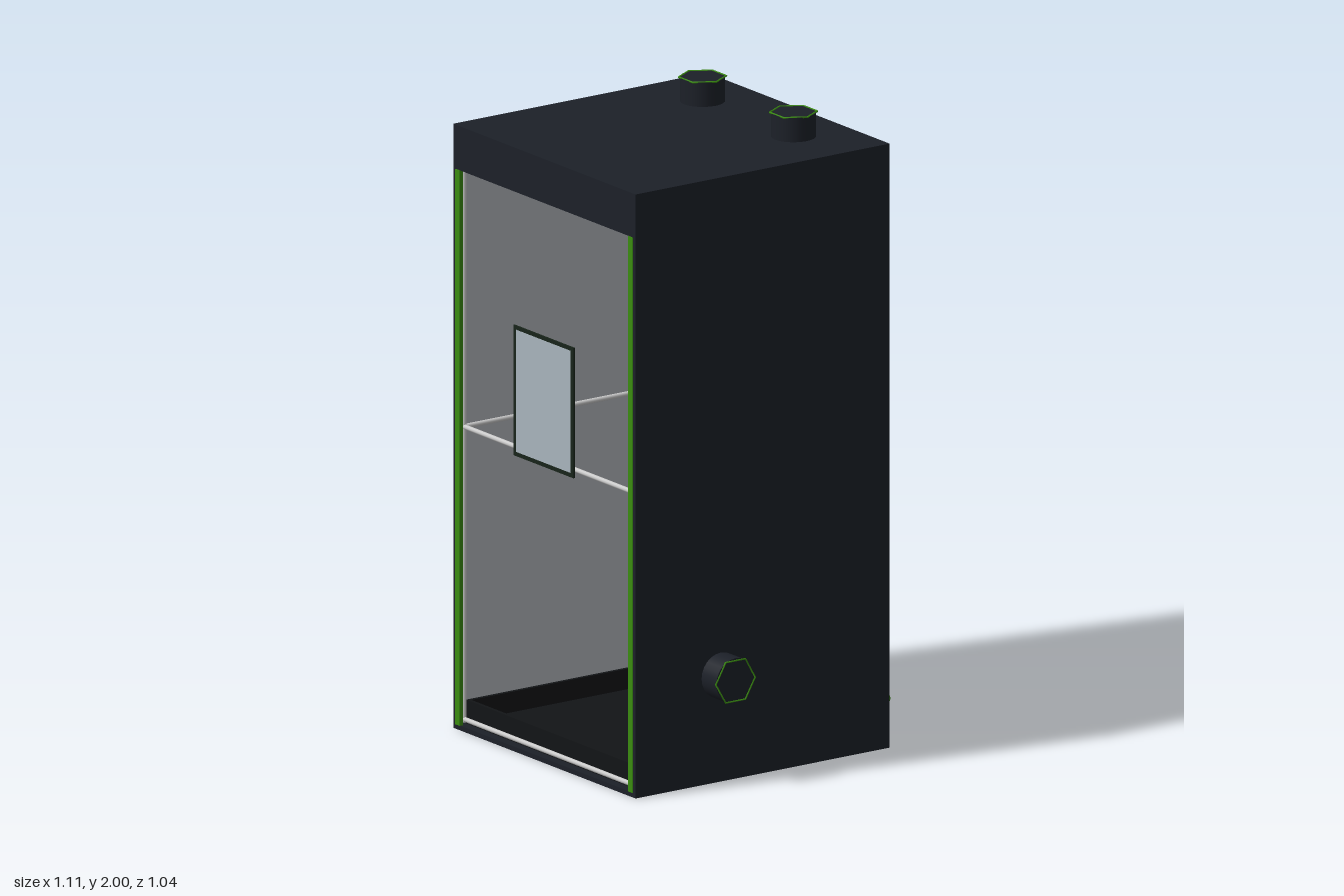
import * as THREE from 'three';

const mat = (color) => new THREE.MeshStandardMaterial({ color });
const fabric = mat(0x1c2028);
const liner = mat(0xb4b7bc);
const pole = mat(0xcccccc);
const green = mat(0x3a8c10);
const trayBlack = mat(0x121416);
const windowGrey = mat(0xa8b4bc);
const frameDark = mat(0x18241a);

// Box given by its two extreme corners
function box(parent, name, material, [x0, y0, z0], [x1, y1, z1]) {
  const mesh = new THREE.Mesh(new THREE.BoxGeometry(x1 - x0, y1 - y0, z1 - z0), material);
  mesh.name = name;
  mesh.position.set((x0 + x1) / 2, (y0 + y1) / 2, (z0 + z1) / 2);
  parent.add(mesh);
}

// Straight round rod between two points
function rod(parent, name, a, b, r = 0.008) {
  const p = new THREE.Vector3(...a), q = new THREE.Vector3(...b);
  const dir = q.clone().sub(p);
  const mesh = new THREE.Mesh(new THREE.CylinderGeometry(r, r, dir.length(), 8), pole);
  mesh.name = name;
  mesh.position.copy(p).add(q).multiplyScalar(0.5);
  mesh.quaternion.setFromUnitVectors(new THREE.Vector3(0, 1, 0), dir.normalize());
  parent.add(mesh);
}

// Round duct sleeve along local +z, ending in a hexagonal trim ring
function port(parent, name, r, ringR, position, rx, ry) {
  const g = new THREE.Group();
  g.name = name;
  const length = 0.077;
  const sleeve = new THREE.Mesh(new THREE.CylinderGeometry(r, r, length, 24), fabric);
  sleeve.name = 'sleeve';
  sleeve.rotation.x = Math.PI / 2;
  sleeve.position.z = length / 2;
  const ring = new THREE.Mesh(new THREE.TorusGeometry(ringR - 0.003, 0.003, 6, 6), green);
  ring.name = 'trimRing';
  ring.position.z = length;
  g.add(sleeve, ring);
  g.position.set(...position);
  g.rotation.set(rx, ry, 0);
  parent.add(g);
}

export function createModel() {
  const model = new THREE.Group();
  const W = 0.477, H = 1.92, ZB = -0.44, ZF = 0.515, T = 0.015;

  // Outer fabric shell, open at the front
  const shell = new THREE.Group();
  shell.name = 'shell';
  box(shell, 'floor', fabric, [-W, 0, ZB], [W, 0.015, ZF]);
  box(shell, 'roof', fabric, [-W, H - T, ZB], [W, H, ZF]);
  box(shell, 'backWall', fabric, [-W, 0.015, ZB], [W, H - T, ZB + T]);
  box(shell, 'frontTopBand', fabric, [-W, 1.78, ZF - T], [W, H - T, ZF]);
  for (const s of [-1, 1]) {
    const xs = [s * W, s * (W - T)].sort((a, b) => a - b);
    box(shell, 'sideWall', fabric, [xs[0], 0.015, ZB + T], [xs[1], H - T, ZF]);
  }
  model.add(shell);

  // Reflective lining
  const lining = new THREE.Group();
  lining.name = 'lining';
  const I = W - T;
  box(lining, 'backLining', liner, [-I, 0.015, ZB + T], [I, H - T, ZB + T + 0.004]);
  box(lining, 'roofLining', liner, [-I, H - T - 0.004, ZB + T], [I, H - T, ZF - T]);
  box(lining, 'leftLining', liner, [I - 0.004, 0.015, ZB + T], [I, H - T, ZF - T]);
  box(lining, 'rightLining', liner, [-I, 0.015, ZB + T], [-I + 0.004, H - T, ZF - T]);
  model.add(lining);

  // Spill tray: floor and four walls in one extruded rim
  const tray = new THREE.Group();
  tray.name = 'tray';
  const tx = 0.452, zb = -0.418, zf = 0.485, t = 0.012;
  box(tray, 'trayFloor', trayBlack, [-tx, 0.015, zb], [tx, 0.025, zf]);
  box(tray, 'trayBack', trayBlack, [-tx, 0.025, zb], [tx, 0.09, zb + t]);
  box(tray, 'trayFront', trayBlack, [-tx, 0.025, zf - t], [tx, 0.09, zf]);
  box(tray, 'trayLeft', trayBlack, [tx - t, 0.025, zb + t], [tx, 0.09, zf - t]);
  box(tray, 'trayRight', trayBlack, [-tx, 0.025, zb + t], [-tx + t, 0.09, zf - t]);
  model.add(tray);

  // Pole frame: corner uprights with rings at mid height and under the roof
  const frame = new THREE.Group();
  frame.name = 'poleFrame';
  const px = 0.446, pb = -0.408, pf = 0.497;
  const corners = [[-px, pb], [px, pb], [px, pf], [-px, pf]];
  corners.forEach(([x, z], i) => {
    const [nx, nz] = corners[(i + 1) % 4];
    rod(frame, 'upright', [x, 0.025, z], [x, 1.89, z]);
    for (const y of [0.962, 1.89]) rod(frame, 'crossPole', [x, y, z], [nx, y, nz]);
  });
  rod(frame, 'bottomFrontPole', [-px, 0.032, pf], [px, 0.032, pf]);
  model.add(frame);

  // Zips beside the opening
  for (const s of [-1, 1]) {
    box(model, 'zip', green, [s * 0.452 - 0.012, 0.015, 0.505], [s * 0.452 + 0.012, 1.78, 0.518]);
  }

  // Viewing window with a thin border
  const win = new THREE.Group();
  win.name = 'window';
  box(win, 'windowPane', windowGrey, [-0.143, 0.957, 0.513], [0.143, 1.345, 0.52]);
  for (const s of [-1, 1]) {
    box(win, 'sideBorder', frameDark, [s * 0.15 - 0.007, 0.943, 0.513], [s * 0.15 + 0.007, 1.357, 0.519]);
  }
  box(win, 'lowerBorder', frameDark, [-0.143, 0.943, 0.513], [0.143, 0.957, 0.519]);
  box(win, 'upperBorder', frameDark, [-0.143, 1.345, 0.513], [0.143, 1.357, 0.519]);
  model.add(win);

  // Duct and cable ports
  for (const s of [-1, 1]) {
    port(model, 'roofPort', 0.069, 0.076, [s * 0.238, H, -0.25], -Math.PI / 2, 0);
    port(model, 'backPort', 0.048, 0.055, [s * 0.318, 0.118, ZB], 0, Math.PI);
  }
  port(model, 'leftPort', 0.072, 0.077, [W, 0.338, 0.195], 0, Math.PI / 2);
  port(model, 'rightPort', 0.048, 0.054, [-W, 0.338, 0.195], 0, -Math.PI / 2);

  return model;
}
